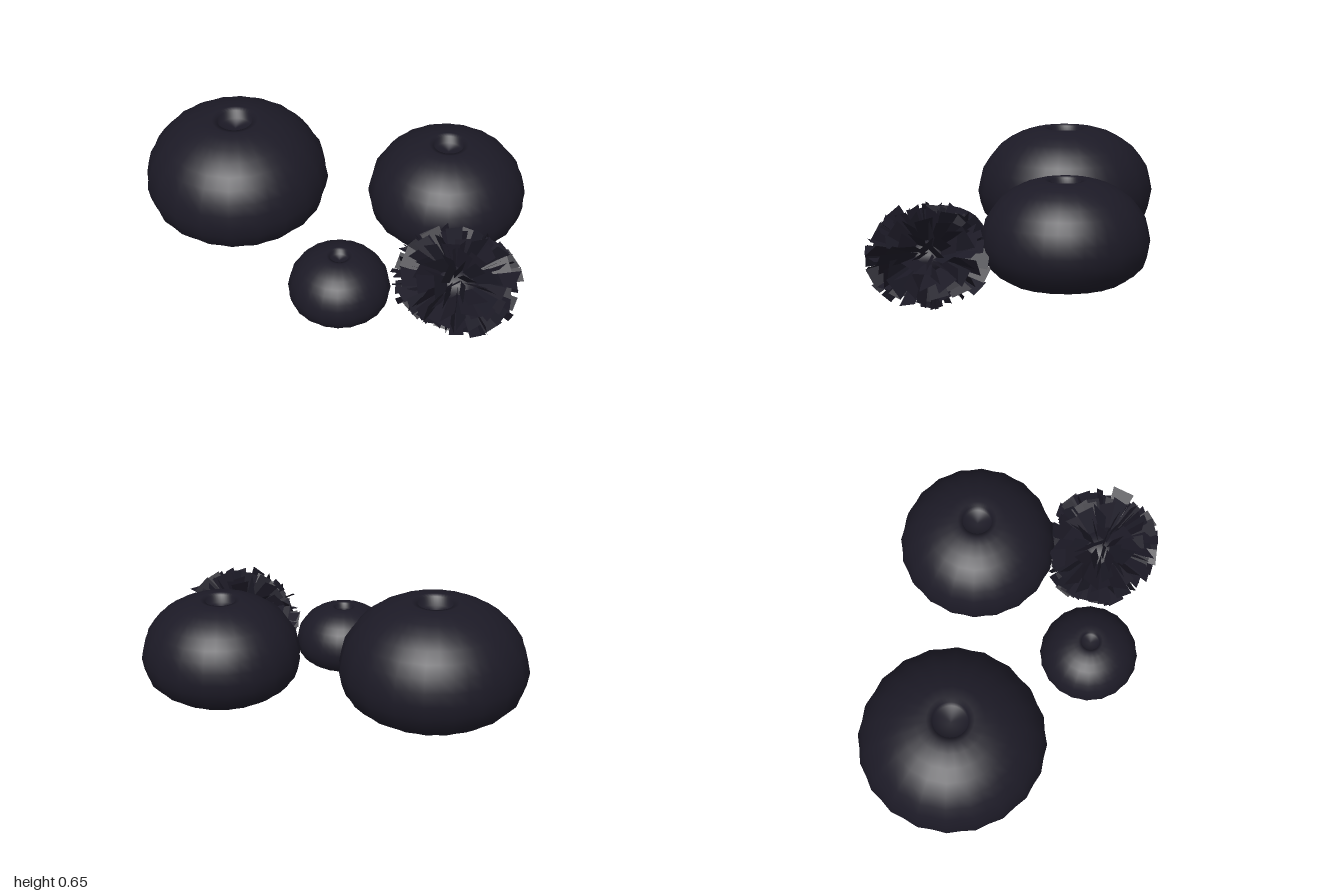
import * as THREE from 'three';
import { mergeVertices } from 'three/addons/utils/BufferGeometryUtils.js';

const shellMaterial = new THREE.MeshStandardMaterial({ color: 0x1c1a26 });
const spineMaterial = new THREE.MeshStandardMaterial({ color: 0x1c1a26, side: THREE.DoubleSide });

// Half profile of a shell, bottom to top: radius and height as fractions
const PROFILE = [
  [0, 0.03], [0.2, 0.01], [0.46, 0], [0.66, 0.035], [0.82, 0.11], [0.92, 0.2], [0.975, 0.3],
  [0.99, 0.41], [0.975, 0.52], [0.93, 0.63], [0.86, 0.73], [0.76, 0.82], [0.64, 0.895],
  [0.5, 0.95], [0.36, 0.985], [0.25, 0.995], [0.19, 0.985], [0.18, 0.91], [0, 0.9],
];

// Squat ribbed shell with small knobs and a round mouth sunk into the top
function shell(name, x, z, radius, bottom, top) {
  const height = top - bottom;
  const pts = PROFILE.map(([r, y]) => new THREE.Vector2(r * radius, y * height));
  let geo = new THREE.LatheGeometry(pts, 40);
  const pos = geo.attributes.position;
  for (let i = 0; i < pos.count; i++) {
    const row = i % PROFILE.length;
    const column = Math.floor(i / PROFILE.length);
    if (row < 2 || row > 14) continue;
    const knob = (column % 2 ? -0.008 : 0.012) + (row % 2 ? 0.008 : -0.004);
    pos.setX(i, pos.getX(i) * (1 + knob));
    pos.setZ(i, pos.getZ(i) * (1 + knob));
  }
  geo.deleteAttribute('uv');
  geo.deleteAttribute('normal');
  geo = mergeVertices(geo, 1e-4);
  geo.computeVertexNormals();
  const mesh = new THREE.Mesh(geo, shellMaterial);
  mesh.name = name;
  mesh.position.set(x, bottom, z);
  return mesh;
}

// Ball of flat spines: thin blades that widen outward in every direction
function spineBall() {
  let seed = 7;
  const rand = () => (seed = (seed * 16807) % 2147483647) / 2147483647;
  const count = 190;
  const positions = [];
  const dir = new THREE.Vector3();
  const side = new THREE.Vector3();
  const helper = new THREE.Vector3();
  for (let i = 0; i < count; i++) {
    const y = 1 - (2 * i) / (count - 1);
    const ring = Math.sqrt(Math.max(0, 1 - y * y));
    const turn = i * 2.39996;
    dir.set(ring * Math.cos(turn), y, ring * Math.sin(turn));
    helper.set(rand() - 0.5, rand() - 0.5, rand() - 0.5);
    side.crossVectors(dir, helper).normalize();
    const reach = i === count - 1 ? 1 : 0.82 + 0.17 * rand();
    const size = new THREE.Vector3(0.32, 0.245, 0.305);
    const corner = (along, across) =>
      dir.clone().multiplyScalar(along).multiply(size).addScaledVector(side, across);
    const wide = 0.03 + 0.025 * rand();
    const a = corner(0.15, -0.02), b = corner(0.15, 0.02);
    const c = corner(reach, wide), d = corner(reach * 0.98, -wide);
    for (const p of [a, b, c, a, c, d]) positions.push(p.x, p.y, p.z);
  }
  const geo = new THREE.BufferGeometry();
  geo.setAttribute('position', new THREE.Float32BufferAttribute(positions, 3));
  geo.computeVertexNormals();
  const spines = new THREE.Mesh(geo, spineMaterial);
  spines.name = 'spines';

  // Small body hidden between the spines
  const body = new THREE.Mesh(new THREE.SphereGeometry(0.13, 16, 10), shellMaterial);
  body.name = 'spinyBody';
  body.scale.y = 0.75;

  const group = new THREE.Group();
  group.name = 'spinyUrchin';
  group.add(spines, body);
  group.position.set(0.67, 0.245, 0.29);
  return group;
}

export function createModel() {
  const model = new THREE.Group();
  model.name = 'seaUrchins';
  model.add(
    shell('largeShell', -0.55, -0.02, 0.442, 0.1, 0.655),
    shell('mediumShell', 0.445, -0.28, 0.378, 0.1, 0.578),
    shell('smallShell', 0.143, 0.42, 0.236, 0.04, 0.347),
    spineBall(),
  );
  return model;
}
